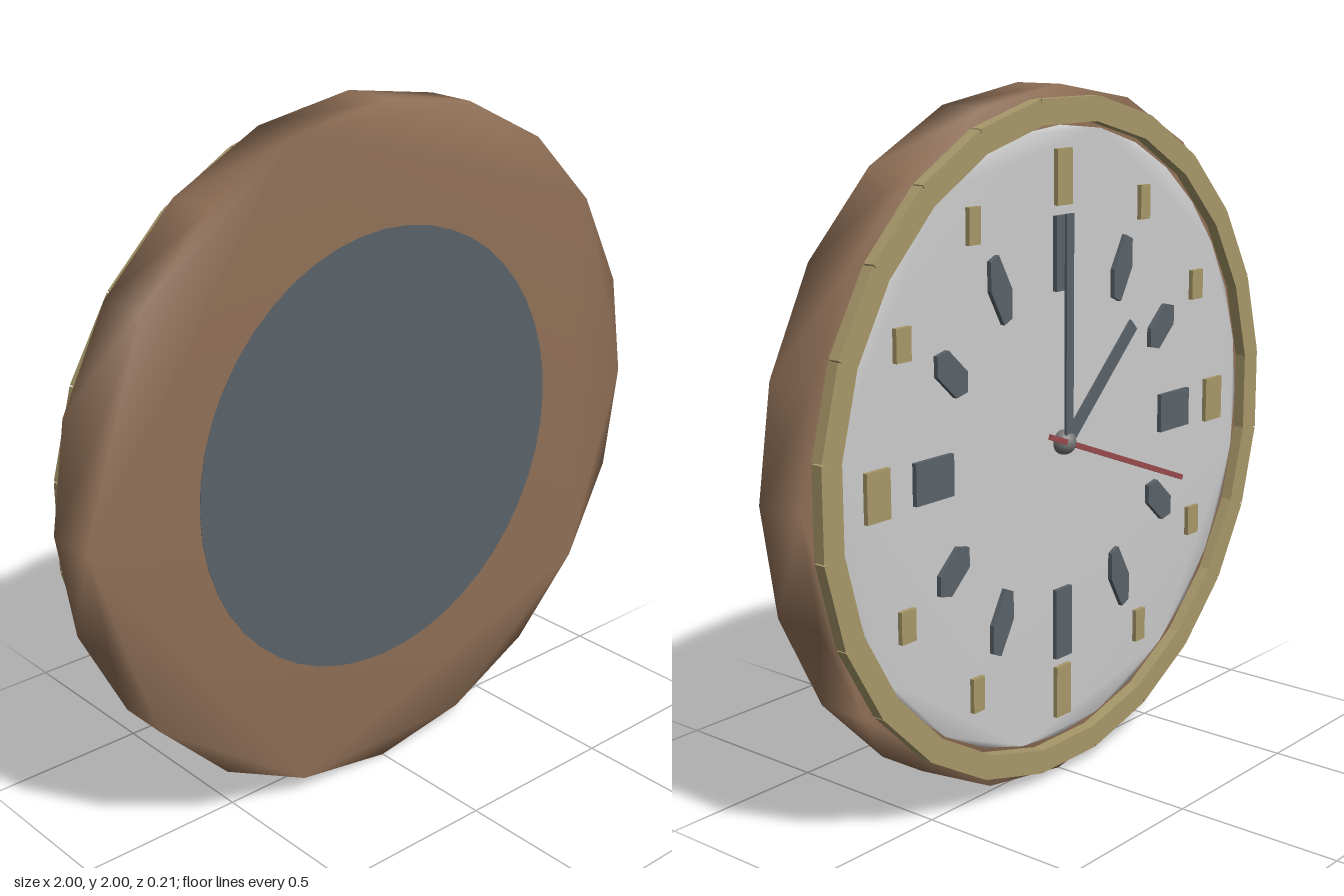
import * as THREE from 'three';
import { mergeVertices } from 'three/addons/utils/BufferGeometryUtils.js';

const paint = (color) => new THREE.MeshStandardMaterial({ color });
const wood = paint(0x8f6f56);
const gold = paint(0xa8986a);
const slate = paint(0x596269);
const pale = paint(0xd8d8d4);
const red = paint(0x9a4a4a);
const steel = paint(0x777777);

// Regular polygon with a corner at the top.
function polygon(radius, sides) {
  const pts = [];
  for (let i = 0; i < sides; i++) {
    const a = (i / sides) * Math.PI * 2;
    pts.push(new THREE.Vector2(Math.sin(a) * radius, Math.cos(a) * radius));
  }
  return pts;
}

// Plate between two depths; soft plates share normals around the rim.
function plate(name, pts, z0, z1, material, soft = false) {
  let geo = new THREE.ExtrudeGeometry(new THREE.Shape(pts), { depth: z1 - z0, bevelEnabled: false });
  if (soft) {
    geo.deleteAttribute('normal');
    geo.deleteAttribute('uv');
    geo = mergeVertices(geo, 1e-4);
    geo.computeVertexNormals();
  }
  const mesh = new THREE.Mesh(geo, material);
  mesh.position.z = z0;
  mesh.name = name;
  return mesh;
}

function box(name, w, h, d, x, y, z, material) {
  const mesh = new THREE.Mesh(new THREE.BoxGeometry(w, h, d), material);
  mesh.position.set(x, y, z);
  mesh.name = name;
  return mesh;
}

// Hand running from -tail to length; the angle is clockwise from twelve.
function hand(name, width, length, tail, angle, z, material) {
  const mesh = box(name, width, length + tail, 0.008, 0, 0, z, material);
  mesh.geometry.translate(0, (length - tail) / 2, 0);
  mesh.rotation.z = -angle;
  return mesh;
}

export function createModel() {
  const group = new THREE.Group();
  group.name = 'wallClock';
  const clock = new THREE.Group();
  clock.name = 'clock';
  group.add(clock);

  // Case, dial and rear plate
  clock.add(plate('case', polygon(1, 20), -0.1, 0.05, wood, true));
  clock.add(plate('dial', polygon(0.89, 32), 0.02, 0.057, pale, true));
  clock.add(plate('rearPlate', polygon(0.65, 48), -0.101, -0.08, slate));

  // Rim made of straight blocks
  const rim = new THREE.Group();
  rim.name = 'rim';
  for (let i = 0; i < 24; i++) {
    const a = (i / 24) * Math.PI * 2;
    const block = box('rimBlock', 0.25, 0.07, 0.035, Math.sin(a) * 0.93, Math.cos(a) * 0.93, 0.0725, gold);
    block.rotation.z = -a;
    rim.add(block);
  }
  clock.add(rim);

  // Upright hour markers: gold outside, slate inside, sized by position
  const goldSize = [[0.065, 0.155], [0.045, 0.1], [0.055, 0.09], [0.085, 0.135]];
  const slateHalf = [[0.036, 0.105], [0.043, 0.096], [0.058, 0.066], [0.073, 0.058]];
  for (let i = 0; i < 12; i++) {
    const a = (i / 12) * Math.PI * 2;
    const sx = Math.sin(a), cy = Math.cos(a);
    const k = i % 6 <= 3 ? i % 6 : 6 - (i % 6);
    clock.add(box('outerMarker', ...goldSize[k], 0.018, sx * 0.75, cy * 0.75, 0.062, gold));

    const [w, h] = slateHalf[k];
    if (k % 3 === 0) {
      clock.add(box('innerMarker', w * 2, h * 2, 0.018, sx * 0.54, cy * 0.54, 0.062, slate));
    } else {
      // Slanted six-sided marker leaning along its radius
      const m = sx * cy > 0 ? 1 : -1;
      const pts = [[w, h * 0.85], [w * 0.25, h], [-w, 0], [-w, -h * 0.85], [-w * 0.25, -h], [w, 0]]
        .map(([x, y]) => new THREE.Vector2(x * m, y));
      const marker = plate('innerMarker', pts, 0.053, 0.071, slate);
      marker.position.x = sx * 0.54;
      marker.position.y = cy * 0.54;
      clock.add(marker);
    }
  }

  // Hands and hub
  const rad = THREE.MathUtils.degToRad;
  clock.add(hand('hourHand', 0.042, 0.43, 0, rad(46), 0.079, slate));
  clock.add(hand('minuteHand', 0.032, 0.65, 0, 0, 0.086, slate));
  clock.add(hand('secondHand', 0.016, 0.59, 0.1, rad(111), 0.093, red));
  const hub = new THREE.Mesh(new THREE.SphereGeometry(0.036, 16, 12), steel);
  hub.name = 'hub';
  hub.position.z = 0.068;
  clock.add(hub);

  // The dial looks towards -z
  clock.rotation.y = Math.PI;
  clock.position.y = 1;
  return group;
}
